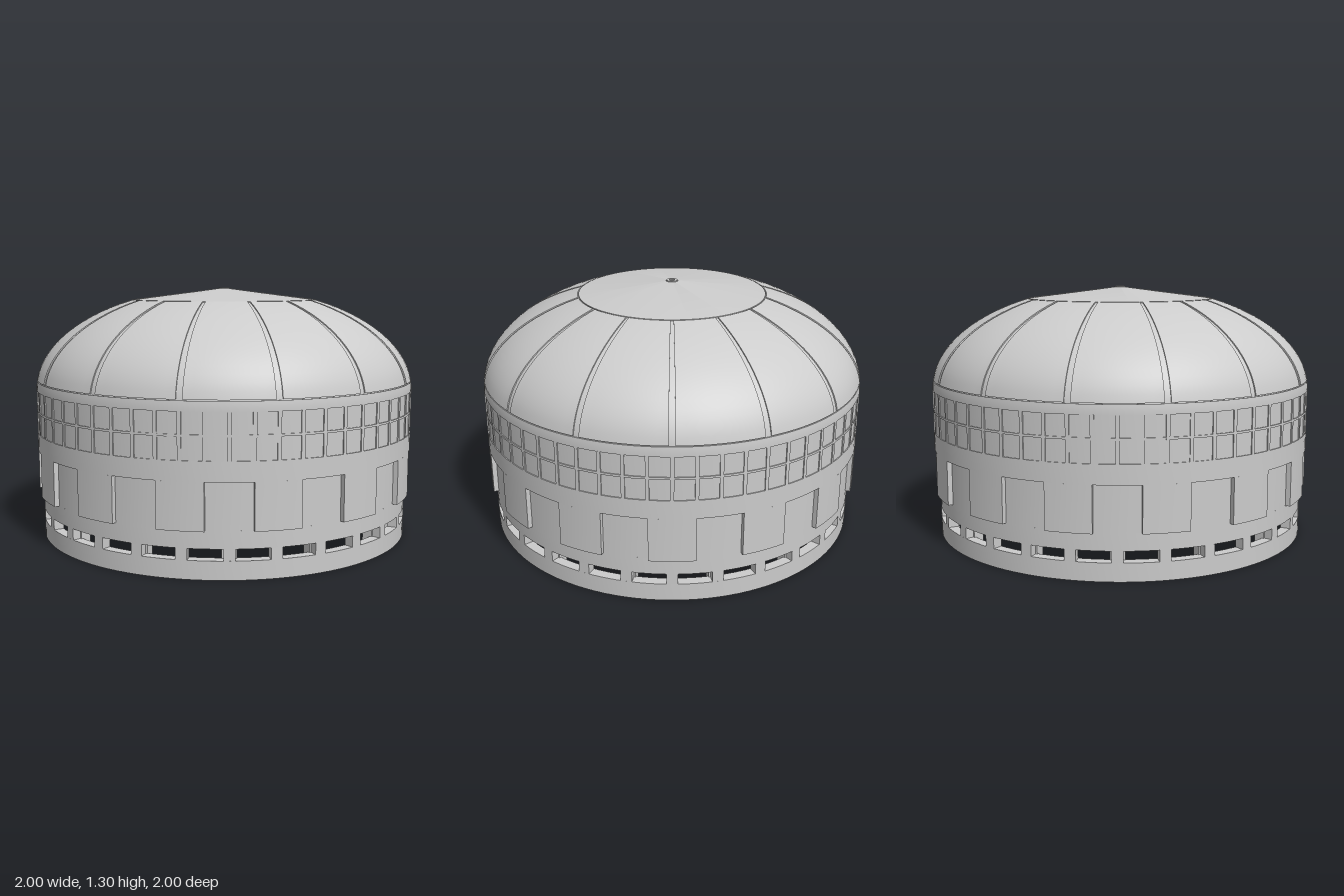
import * as THREE from 'three';
import { toCreasedNormals } from 'three/addons/utils/BufferGeometryUtils.js';

const BAYS = 14;
const STEP = (Math.PI * 2) / BAYS;

// Dome curve: angle t above the springing, optional inward offset
const domePoint = (t, off = 0) => [(1 - off) * Math.cos(t), 0.77 + (0.53 - off) * Math.sin(t)];
const domeCurve = (t0, t1, off = 0, n = 14) =>
  Array.from({ length: n + 1 }, (_, i) => domePoint(t0 + ((t1 - t0) * i) / n, off));

// Counter-clockwise rectangle in (radius, height)
const rect = (r0, r1, y0, y1) => [[r0, y0], [r1, y0], [r1, y1], [r0, y1]];

// Closed profile turned through the full circle
function ring(profile) {
  const pts = [...profile, profile[0]].map(([r, y]) => new THREE.Vector2(r, y));
  return toCreasedNormals(new THREE.LatheGeometry(pts, 112), 0.5);
}

// Closed profile swept through an arc centred on +z, with end caps
function arc(profile, width) {
  const shape = new THREE.Shape(profile.map(([r, y]) => new THREE.Vector2(r, y)));
  const geo = new THREE.ExtrudeGeometry(shape, {
    depth: width, steps: Math.max(1, Math.ceil(width / 0.056)), bevelEnabled: false,
  });
  const p = geo.attributes.position;
  for (let i = 0; i < p.count; i++) {
    const r = p.getX(i), a = width / 2 - p.getZ(i);
    p.setXYZ(i, r * Math.sin(a), p.getY(i), r * Math.cos(a));
  }
  return toCreasedNormals(geo, 0.5);
}

export function createModel() {
  const model = new THREE.Group();
  const mat = new THREE.MeshStandardMaterial({ color: 0xcccccc });

  function add(name, geo, parent = model) {
    const mesh = new THREE.Mesh(geo, mat);
    mesh.name = name;
    parent.add(mesh);
    return mesh;
  }

  // Copies of some geometries spaced evenly around the axis
  function around(name, geos, count, offset = 0) {
    const group = new THREE.Group();
    group.name = name + 's';
    for (let i = 0; i < count; i++) {
      const one = new THREE.Group();
      one.name = name;
      one.rotation.y = ((i + offset) * Math.PI * 2) / count;
      geos.forEach((g) => add(name + 'Part', g, one));
      group.add(one);
    }
    model.add(group);
  }

  // Base: two rings with a row of open slots between them
  add('footRing', ring(rect(0.925, 0.975, 0, 0.09)));
  add('baseRing', ring(rect(0.925, 0.975, 0.145, 0.23)));
  around('slotDivider', [arc(rect(0.925, 0.975, 0.09, 0.145), 0.056)], BAYS * 2);

  // Crenellated wall: recessed bays alternate with projecting teeth
  around('recessedBay', [arc(rect(0.925, 0.975, 0.23, 0.455), STEP / 2)], BAYS);
  around('wallTooth', [arc(rect(0.95, 1, 0.23, 0.455), STEP / 2)], BAYS, 0.5);
  add('upperWall', ring(rect(0.95, 1, 0.455, 0.55)));

  // Window band: panes set slightly back between mullions
  add('windowPanes', ring(rect(0.955, 0.995, 0.55, 0.775)));
  add('windowTransom', ring(rect(0.95, 1, 0.656, 0.667)));
  around('mullion', [arc(rect(0.95, 1, 0.55, 0.77), 0.018)], BAYS * 4);

  // Inner posts with stepped caps
  const post = new THREE.BoxGeometry(0.07, 0.42, 0.05).translate(0, 0.215, 0.908);
  const capLow = new THREE.BoxGeometry(0.12, 0.025, 0.075).translate(0, 0.417, 0.905);
  const capHigh = new THREE.BoxGeometry(0.16, 0.028, 0.105).translate(0, 0.442, 0.9);
  around('post', [post, capLow, capHigh], BAYS);

  // Dome: under-shell, springing band, raised panels and conical crown
  const tBase = 0.01, tBand = 0.0945, tTop = 1.064, gap = 0.006;
  add('domeShell', ring([
    ...domeCurve(tBase, tTop, gap, 24),
    ...domeCurve(tBase, tTop, 0.045, 24).reverse(),
  ]));
  add('springingBand', ring([
    [0.95, 0.768], [1, 0.768],
    ...domeCurve(tBase, tBand - 0.008, 0, 3),
    domePoint(tBand - 0.008, 0.045),
  ]));
  around('domePanel', [arc([
    ...domeCurve(tBand, tTop - 0.006),
    ...domeCurve(tBand, tTop - 0.006, gap + 0.004).reverse(),
  ], STEP - 0.03)], BAYS);
  const [rTop, yTop] = domePoint(tTop);
  add('crown', ring([
    [rTop, yTop - 0.04], [rTop, yTop], [0.012, 1.293], [0.012, 1.25],
  ]));

  // Small collar and plug at the apex
  add('apexCollar', ring(rect(0.014, 0.03, 1.27, 1.296)));
  add('apexPlug', new THREE.CylinderGeometry(0.015, 0.015, 0.04, 24).translate(0, 1.27, 0));

  return model;
}
